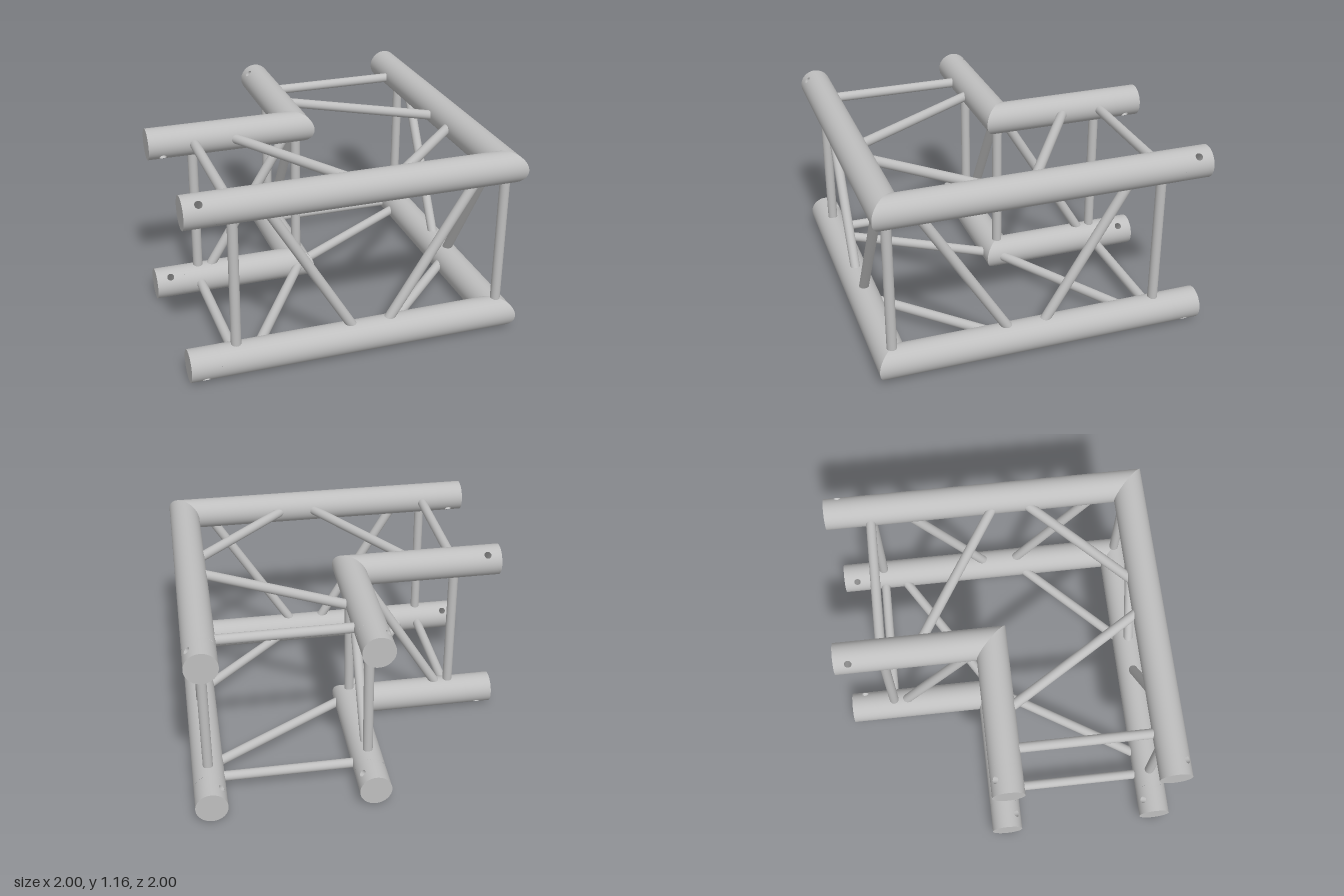
import * as THREE from 'three';

const R = 0.096;        // chord radius
const LEVEL = 0.482;    // chord height above and below the middle
const OUTER = 0.904;    // axis offset of the outer chords
const INNER = -0.06;    // axis offset of the inner chords
const BRACE = 0.03;     // brace radius
const BORE = 0.022;     // pin hole radius
const COLLAR = 0.176;   // length of the drilled chord end

// Move every vertex of a geometry by a rule
function bend(geo, rule) {
  const p = geo.attributes.position;
  const v = new THREE.Vector3();
  for (let i = 0; i < p.count; i++) {
    v.fromBufferAttribute(p, i);
    rule(v);
    p.setXYZ(i, v.x, v.y, v.z);
  }
  return geo;
}

// Half of a drilled chord end: a ring stretched from the hole to a wrapped rectangle
function collarHalf(angle) {
  const geo = bend(new THREE.RingGeometry(1, 2, 64, 8), (v) => {
    const t = Math.hypot(v.x, v.y) - 1;
    const a = Math.atan2(v.y, v.x);
    const c = Math.cos(a), s = Math.sin(a);
    const m = Math.max(Math.abs(c), Math.abs(s));
    const x = THREE.MathUtils.lerp(BORE * c, (COLLAR / 2) * c / m, t);
    const turn = angle + THREE.MathUtils.lerp(Math.asin(BORE * s / R), (Math.PI / 2) * s / m, t);
    v.set(x - 1 + COLLAR / 2, R * Math.sin(turn), R * Math.cos(turn));
  });
  const p = geo.attributes.position;
  for (let i = 0; i < p.count; i++) {
    geo.attributes.normal.setXYZ(i, 0, p.getY(i) / R, p.getZ(i) / R);
  }
  return geo;
}

// Wall of the pin hole, trimmed to the chord surface and facing inwards
function boreWall(angle) {
  const geo = bend(new THREE.CylinderGeometry(BORE, BORE, 2, 32, 1, true), (v) => {
    v.y = Math.sign(v.y) * Math.sqrt(R * R - v.z * v.z);
  });
  geo.index.array.reverse();
  const n = geo.attributes.normal;
  for (let i = 0; i < n.count; i++) n.setXYZ(i, -n.getX(i), -n.getY(i), -n.getZ(i));
  return geo.rotateX(Math.PI / 2 - angle).translate(-1 + COLLAR / 2, 0, 0);
}

export function createModel() {
  const aluminium = new THREE.MeshStandardMaterial({ color: 0xbfbfbf });
  aluminium.name = 'aluminium';

  const model = new THREE.Group();
  model.name = 'cornerTruss';
  const frame = new THREE.Group();
  frame.name = 'trussFrame';
  frame.position.y = LEVEL + R;
  model.add(frame);

  const addMesh = (parent, name, geo) => {
    const mesh = new THREE.Mesh(geo, aluminium);
    mesh.name = name;
    parent.add(mesh);
    return mesh;
  };

  // Chord along x, mitred on the plane x = z, drilled at its free end
  function chord(name, axisZ, side, level) {
    const group = new THREE.Group();
    group.name = name;
    group.position.set(0, level * LEVEL, axisZ);
    const body = new THREE.CylinderGeometry(R, R, 1, 64, 1, true).rotateZ(Math.PI / 2);
    addMesh(group, 'chordTube', bend(body, (v) => {
      v.x = v.x < 0 ? -1 + COLLAR : v.z + axisZ;
    }));
    const angle = Math.atan2(level, side);
    addMesh(group, 'drilledEnd', collarHalf(angle));
    addMesh(group, 'drilledEnd', collarHalf(angle + Math.PI));
    addMesh(group, 'pinHole', boreWall(angle));
    addMesh(group, 'endCap', new THREE.CircleGeometry(R, 64).rotateY(-Math.PI / 2).translate(-1, 0, 0));
    return group;
  }

  // Second arm is the first one turned half round the diagonal of the corner
  for (const arm of ['sideArm', 'backArm']) {
    const group = new THREE.Group();
    group.name = arm + 'Chords';
    for (const level of [1, -1]) {
      group.add(chord('outerChord', OUTER, 1, level));
      group.add(chord('innerChord', INNER, -1, level));
    }
    if (arm === 'backArm') {
      group.quaternion.setFromAxisAngle(new THREE.Vector3(1, 0, 1).normalize(), Math.PI);
    }
    frame.add(group);
  }

  // Straight round bar between two points
  const UP = new THREE.Vector3(0, 1, 0);
  function bar(name, a, b) {
    const from = new THREE.Vector3(...a), to = new THREE.Vector3(...b);
    const dir = to.clone().sub(from);
    const mesh = addMesh(frame, name, new THREE.CylinderGeometry(BRACE, BRACE, dir.length(), 32));
    mesh.position.copy(from).add(to).multiplyScalar(0.5);
    mesh.quaternion.setFromUnitVectors(UP, dir.normalize());
  }
  const swap = ([x, y, z]) => [z, y, x];
  function barPair(name, a, b) {
    bar(name, a, b);
    bar(name, swap(a), swap(b));
  }

  // Corner posts and the diagonal ties across the corner
  for (const c of [OUTER, INNER]) bar('cornerPost', [c, -LEVEL, c], [c, LEVEL, c]);
  for (const y of [LEVEL, -LEVEL]) bar('cornerTie', [0.19, y, OUTER], [OUTER, y, 0.19]);

  // End posts and cross rails near the free ends
  for (const c of [OUTER, INNER]) barPair('endPost', [-0.72, -LEVEL, c], [-0.72, LEVEL, c]);
  for (const y of [LEVEL, -LEVEL]) barPair('crossRail', [-0.72, y, INNER], [-0.72, y, OUTER]);

  // Diagonals in the upright faces
  barPair('outerDiagonal', [0.76, LEVEL, OUTER], [0.16, -LEVEL, OUTER]);
  barPair('outerDiagonal', [-0.558, LEVEL, OUTER], [0.028, -LEVEL, OUTER]);
  barPair('innerDiagonal', [-0.091, LEVEL, INNER], [-0.684, -LEVEL, INNER]);

  // Diagonals in the top and bottom faces
  barPair('topDiagonal', [-0.515, LEVEL, INNER], [0.084, LEVEL, OUTER]);
  barPair('bottomDiagonal', [-0.027, -LEVEL, INNER], [-0.62, -LEVEL, OUTER]);

  return model;
}
